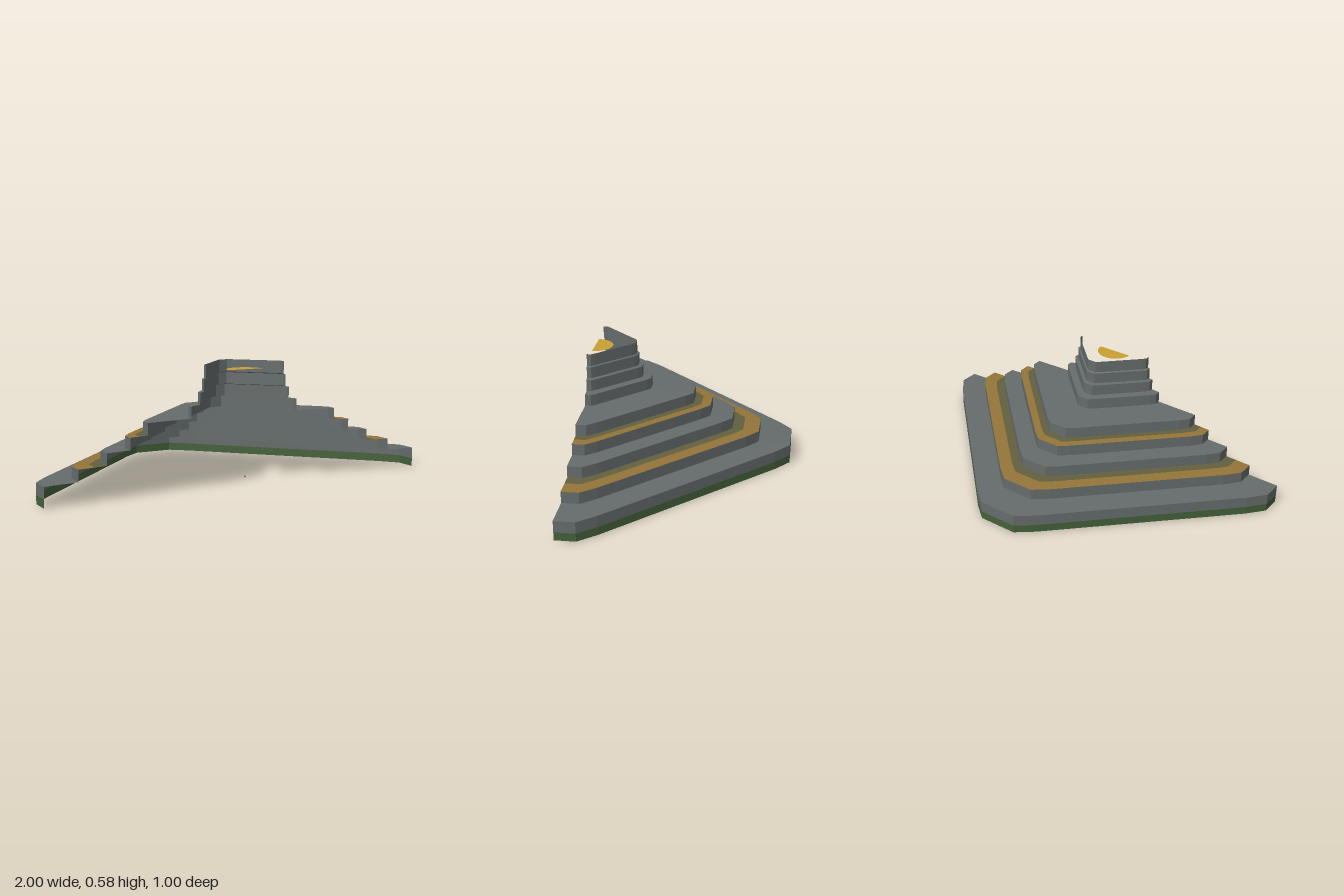
import * as THREE from 'three';

const material = (name, color) =>
  new THREE.MeshStandardMaterial({ name, color, side: THREE.DoubleSide, flatShading: true });

// Half outline of a square with cut corners, from +x round the back to -x; d is the depth behind the open front
const quarter = [[1, 0], [1, 0.1], [0.93, 0.185], [0.185, 0.93], [0.1, 1]];
const outline = [...quarter, ...quarter.map(([x, d]) => [-x, d]).reverse()];

// Open band joining the outline at size r0, height y0 to the outline at size r1, height y1
function band(r0, y0, r1, y1) {
  const at = ([x, d], r, y) => [x * r, y, 0.5 - d * r];
  const positions = [];
  for (let i = 0; i < outline.length - 1; i++) {
    const p = outline[i], q = outline[i + 1];
    const a = at(p, r0, y0), b = at(q, r0, y0), c = at(q, r1, y1), e = at(p, r1, y1);
    positions.push(...a, ...b, ...c, ...a, ...c, ...e);
  }
  const geometry = new THREE.BufferGeometry();
  geometry.setAttribute('position', new THREE.Float32BufferAttribute(positions, 3));
  geometry.computeVertexNormals();
  return geometry;
}

export function createModel() {
  const stone = material('grey stone', 0x656c6b);
  const moss = material('moss green', 0x446039);
  const ochre = material('ochre trim', 0x947538);
  const olive = material('olive trim', 0x62603f);
  const gold = material('bright gold', 0xc9a032);

  const group = new THREE.Group();
  group.name = 'steppedHalfPyramid';
  const add = (name, geometry, mat) => {
    const mesh = new THREE.Mesh(geometry, mat);
    mesh.name = name;
    group.add(mesh);
    return mesh;
  };

  // Mossy foot of the lowest wall
  add('mossFoot', band(1, 0, 1, 0.04), moss);

  // Tiers: a wall and a gently rising tread up to the next wall
  const radii = [1, 0.84, 0.705, 0.592, 0.506, 0.285, 0.24, 0.22, 0.21];
  const trimEnd = { 1: 0.76, 3: 0.545 };
  radii.forEach((r, i) => {
    const foot = i === 0 ? 0.04 : 0.04 + i * 0.06;
    const top = 0.1 + i * 0.06;
    const last = i === radii.length - 1;
    const lip = last ? top : top - 0.004;
    add('tierWall' + (i + 1), band(r, foot, r, lip), stone);
    if (last) return;
    const next = radii[i + 1];
    if (trimEnd[i]) {
      // Two-tone painted tread
      const mid = trimEnd[i];
      const midY = lip + 0.004 * (r - mid) / (r - next);
      add('outerTrim' + (i + 1), band(r, lip, mid, midY), ochre);
      add('innerTrim' + (i + 1), band(mid, midY, next, top), olive);
    } else {
      add('tread' + (i + 1), band(r, lip, next, top), stone);
    }
  });

  // Half disc floating inside the open summit
  const disc = add('summitDisc', new THREE.CircleGeometry(0.09, 24, 0, Math.PI), gold);
  disc.rotation.x = -Math.PI / 2;
  disc.position.set(0, 0.552, 0.5);

  // Tiny chip at the foot of the open front
  const chip = add('frontChip', new THREE.CircleGeometry(0.007, 3, Math.PI / 2), stone);
  chip.position.set(0, 0.043, 0.5);

  return group;
}
